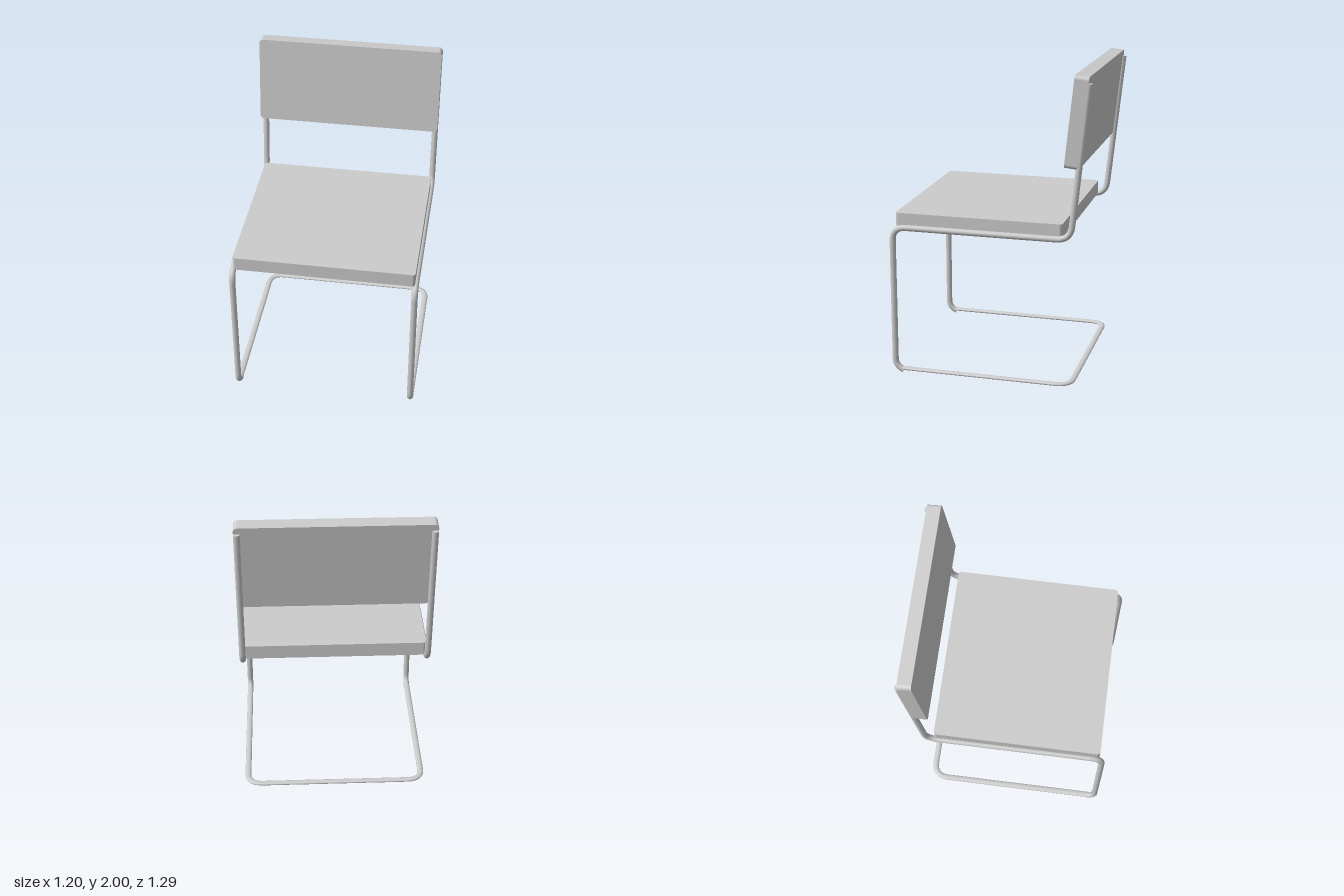
import * as THREE from 'three';

const material = new THREE.MeshStandardMaterial({ color: 0xcccccc, side: THREE.DoubleSide });
const RAIL_X = 0.58;
const TUBE_R = 0.02;
const TILT = 0.106; // backward lean of the back

function addMesh(parent, geometry, name) {
  const mesh = new THREE.Mesh(geometry, material);
  mesh.name = name;
  parent.add(mesh);
  return mesh;
}

// Polyline through the points, each inner corner rounded over the given distance
function roundedPath(points, bend) {
  const path = new THREE.CurvePath();
  let from = points[0];
  for (let i = 1; i < points.length - 1; i++) {
    const corner = points[i];
    const toward = (p) => corner.clone().add(p.clone().sub(corner).setLength(bend));
    const enter = toward(points[i - 1]);
    const leave = toward(points[i + 1]);
    path.add(new THREE.LineCurve3(from, enter));
    path.add(new THREE.QuadraticBezierCurve3(enter, corner, leave));
    from = leave;
  }
  path.add(new THREE.LineCurve3(from, points[points.length - 1]));
  return path;
}

function roundedRect(w, h, r) {
  const s = new THREE.Shape();
  const x = w / 2, y = h / 2;
  s.absarc(x - r, y - r, r, 0, Math.PI / 2);
  s.absarc(-x + r, y - r, r, Math.PI / 2, Math.PI);
  s.absarc(-x + r, -y + r, r, Math.PI, Math.PI * 1.5);
  s.absarc(x - r, -y + r, r, Math.PI * 1.5, Math.PI * 2);
  s.closePath();
  return s;
}

// Rounded slab without its lower cap, so the underside is hollow
function hollowSlab(w, d, h, r) {
  const solid = new THREE.ExtrudeGeometry(roundedRect(w, d, r), { depth: h, bevelEnabled: false, curveSegments: 4 });
  const skip = solid.groups[0].count / 2;
  const shell = new THREE.BufferGeometry();
  shell.setAttribute('position', new THREE.BufferAttribute(solid.attributes.position.array.slice(skip * 3), 3));
  shell.computeVertexNormals();
  return shell.rotateX(-Math.PI / 2);
}

export function createModel() {
  const chair = new THREE.Group();
  chair.name = 'cantileverChair';
  const v = (x, y, z) => new THREE.Vector3(x, y, z);

  // Side tubes: back post, seat rail and front leg in one bent run
  const postTop = v(0, 1.95, -0.625);
  const sidePath = roundedPath([postTop, v(0, 0.98, -0.523), v(0, 0.98, 0.63), v(0, 0.09, 0.63)], 0.09);
  sidePath.add(new THREE.QuadraticBezierCurve3(v(0, 0.09, 0.63), v(0, 0.04, 0.63), v(0, 0.015, 0.575)));
  const sideGeometry = new THREE.TubeGeometry(sidePath, 160, TUBE_R, 12);
  for (const side of [1, -1]) {
    const frame = new THREE.Group();
    frame.name = side > 0 ? 'leftSideFrame' : 'rightSideFrame';
    frame.position.x = side * RAIL_X;
    addMesh(frame, sideGeometry, 'sideTube');
    const cap = addMesh(frame, new THREE.CircleGeometry(TUBE_R, 12), 'tubeCap');
    cap.position.copy(postTop);
    cap.rotation.x = -(Math.PI / 2 + TILT);
    chair.add(frame);
  }

  // Floor runner: flattened U-shaped tube joining both legs
  const basePath = roundedPath([
    v(RAIL_X, 0, 0.585), v(RAIL_X, 0, -0.53), v(-RAIL_X, 0, -0.53), v(-RAIL_X, 0, 0.585),
  ], 0.1);
  const baseGeometry = new THREE.TubeGeometry(basePath, 160, TUBE_R, 12).scale(1, 0.55, 1);
  addMesh(chair, baseGeometry, 'floorRunner').position.y = 0.026;

  // Seat: hollow underneath, resting on the rails
  addMesh(chair, hollowSlab(1.155, 1.08, 0.09, 0.02), 'seat').position.set(0, 0.985, 0.07);

  // Backrest: leaning slab, its rear face on the centre of the posts
  const backGeometry = new THREE.ExtrudeGeometry(roundedRect(1.2, 0.57, 0.025), {
    depth: 0.088, bevelEnabled: false, curveSegments: 4,
  }).translate(0, -0.285, -0.088);
  const backrest = addMesh(chair, backGeometry, 'backrest');
  backrest.position.set(0, 2, -0.54);
  backrest.rotation.x = -TILT;

  return chair;
}
